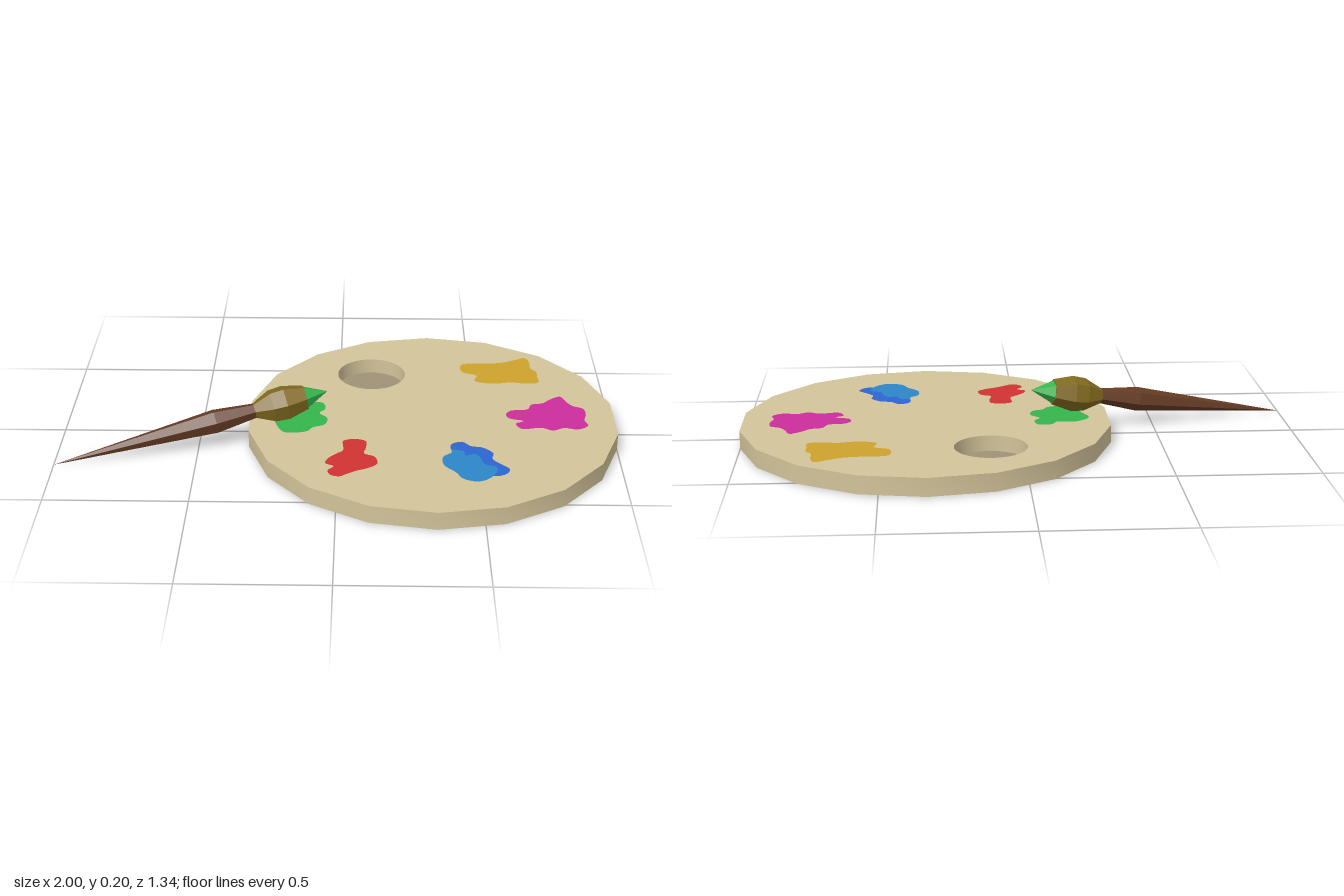
import * as THREE from 'three';
import { toCreasedNormals } from 'three/addons/utils/BufferGeometryUtils.js';

const material = (name, color, flatShading = false) =>
  Object.assign(new THREE.MeshStandardMaterial({ color, flatShading }), { name });

const wood = material('pale wood', 0xd2c39a);
const shadowWood = material('recess wood', 0x9e9276);
const handleBrown = material('handle brown', 0x663c25, true);
const brass = material('dull brass', 0x826a20, true);
const green = material('green paint', 0x35b54c, true);
const red = material('red paint', 0xd03232);
const blue = material('blue paint', 0x2c66d0);
const lightBlue = material('light blue paint', 0x2d86c8);
const magenta = material('magenta paint', 0xcc2c9c);
const gold = material('gold paint', 0xcda22c);

const TOP = 0.07, BASE = 0.005;
const CENTRE_X = 0.34, RADIUS = 0.67, SIDES = 18;
const HOLE = { x: 0.12, z: -0.345, r: 0.127 };

function addMesh(parent, name, geometry, mat) {
  const mesh = new THREE.Mesh(geometry, mat);
  mesh.name = name;
  parent.add(mesh);
  return mesh;
}

// Eighteen-sided board with a round recess
function createBoard() {
  const board = new THREE.Group();
  board.name = 'board';
  const outline = [];
  for (let i = 0; i < SIDES; i++) {
    const a = Math.PI / 2 + (i / SIDES) * Math.PI * 2;
    outline.push(new THREE.Vector2(CENTRE_X + RADIUS * Math.cos(a), RADIUS * Math.sin(a)));
  }
  const shape = new THREE.Shape(outline);
  shape.holes.push(new THREE.Path().absarc(HOLE.x, -HOLE.z, HOLE.r, 0, Math.PI * 2, true));
  const plate = new THREE.ExtrudeGeometry(shape, { depth: TOP - BASE, bevelEnabled: false, curveSegments: 20 });
  plate.rotateX(-Math.PI / 2).translate(0, BASE, 0);
  addMesh(board, 'plate', toCreasedNormals(plate, 0.5), wood);

  // Floor of the recess, closing the underside
  const floor = addMesh(board, 'recessFloor',
    new THREE.CylinderGeometry(HOLE.r, HOLE.r, 0.008, 40), [wood, shadowWood, wood]);
  floor.position.set(HOLE.x, BASE + 0.004, HOLE.z);
  return board;
}

// Irregular paint spot; outline is x, z pairs in hundredths
function paintSpot(parent, name, mat, outline, lift = 0.002) {
  const points = [];
  for (let i = 0; i < outline.length; i += 2) {
    points.push(new THREE.Vector3(outline[i] / 100, -outline[i + 1] / 100, 0));
  }
  const curve = new THREE.CatmullRomCurve3(points, true, 'centripetal');
  const smooth = curve.getPoints(points.length * 4).slice(0, -1);
  const shape = new THREE.Shape(smooth.map((p) => new THREE.Vector2(p.x, p.y)));
  const geometry = new THREE.ShapeGeometry(shape).rotateX(-Math.PI / 2);
  addMesh(parent, name, geometry, mat).position.y = TOP + lift;
}

function createPaint() {
  const paint = new THREE.Group();
  paint.name = 'paintSpots';
  paintSpot(paint, 'greenSpot', green, [-25, -2, -20, -7, -13, -7, -11, -10, -6, -10, -5, -5, -7, -2,
    -4, 2, -5, 7, -9, 9, -11, 12, -19, 13, -22, 8, -23, 4]);
  paintSpot(paint, 'redSpot', red, [2, 19, 6, 17.5, 10, 19, 10, 24, 9.5, 28, 13, 30, 14, 35, 11, 38,
    7, 40, 4, 42, 1, 44, -2, 43, -3, 40, -1, 37, -4, 35, -3, 31.5, 0, 28, 2, 26, 2, 22]);
  paintSpot(paint, 'blueSpot', blue, [40, 21, 44, 19, 47, 22, 51, 23, 54.5, 27, 54, 31, 57, 35,
    59.5, 38, 58, 41.5, 54, 43, 47, 40, 42, 32]);
  paintSpot(paint, 'lightBlueSpot', lightBlue, [40, 25, 44, 26, 45, 29, 48, 28, 50, 31, 51, 35, 55, 37,
    55, 40, 52, 45, 48, 47, 43, 45, 41, 41, 37, 36, 37, 30, 40, 27], 0.004);
  paintSpot(paint, 'magentaSpot', magenta, [61, -2, 63, -5, 69, -6, 71, -10, 75, -11, 78, -14, 82, -16.5,
    84, -12, 86, -9, 89.5, -7, 90, -2, 89, 2, 90, 6, 86, 9, 81, 8, 77, 10, 73, 8, 66, 9, 64, 5, 67, 3, 62, 1]);
  paintSpot(paint, 'goldSpot', gold, [46, -39.5, 47, -43, 52, -44, 58, -44, 63, -45, 68, -47.5, 71.5, -49,
    73, -45, 73, -40, 75, -37, 75, -33, 75, -28, 70, -27, 65, -28, 60, -27, 55.5, -27, 51, -29, 52, -33.5, 47, -36]);
  return paint;
}

// Low-poly brush resting on the board; profiles are radius, distance from the handle's tip
function createBrush() {
  const brush = new THREE.Group();
  brush.name = 'brush';
  const tail = new THREE.Vector3(-1, 0.003, 0.258);
  const tip = new THREE.Vector3(-0.04, 0.172, 0);
  const lathe = (name, mat, profile) => addMesh(brush, name,
    new THREE.LatheGeometry(profile.map(([r, d]) => new THREE.Vector2(r, d)), 6), mat);
  lathe('handle', handleBrown, [[0, 0], [0.044, 0.59], [0.026, 0.75], [0, 0.75]]);
  lathe('ferrule', brass, [[0, 0.735], [0.028, 0.735], [0.06, 0.8], [0.064, 0.85], [0.046, 0.925], [0, 0.925]]);
  lathe('bristles', green, [[0, 0.92], [0.044, 0.92], [0, tail.distanceTo(tip)]]);
  brush.position.copy(tail);
  brush.quaternion.setFromUnitVectors(new THREE.Vector3(0, 1, 0), tip.clone().sub(tail).normalize());
  return brush;
}

export function createModel() {
  const model = new THREE.Group();
  model.name = 'paintPalette';
  model.add(createBoard(), createPaint(), createBrush());
  return model;
}
